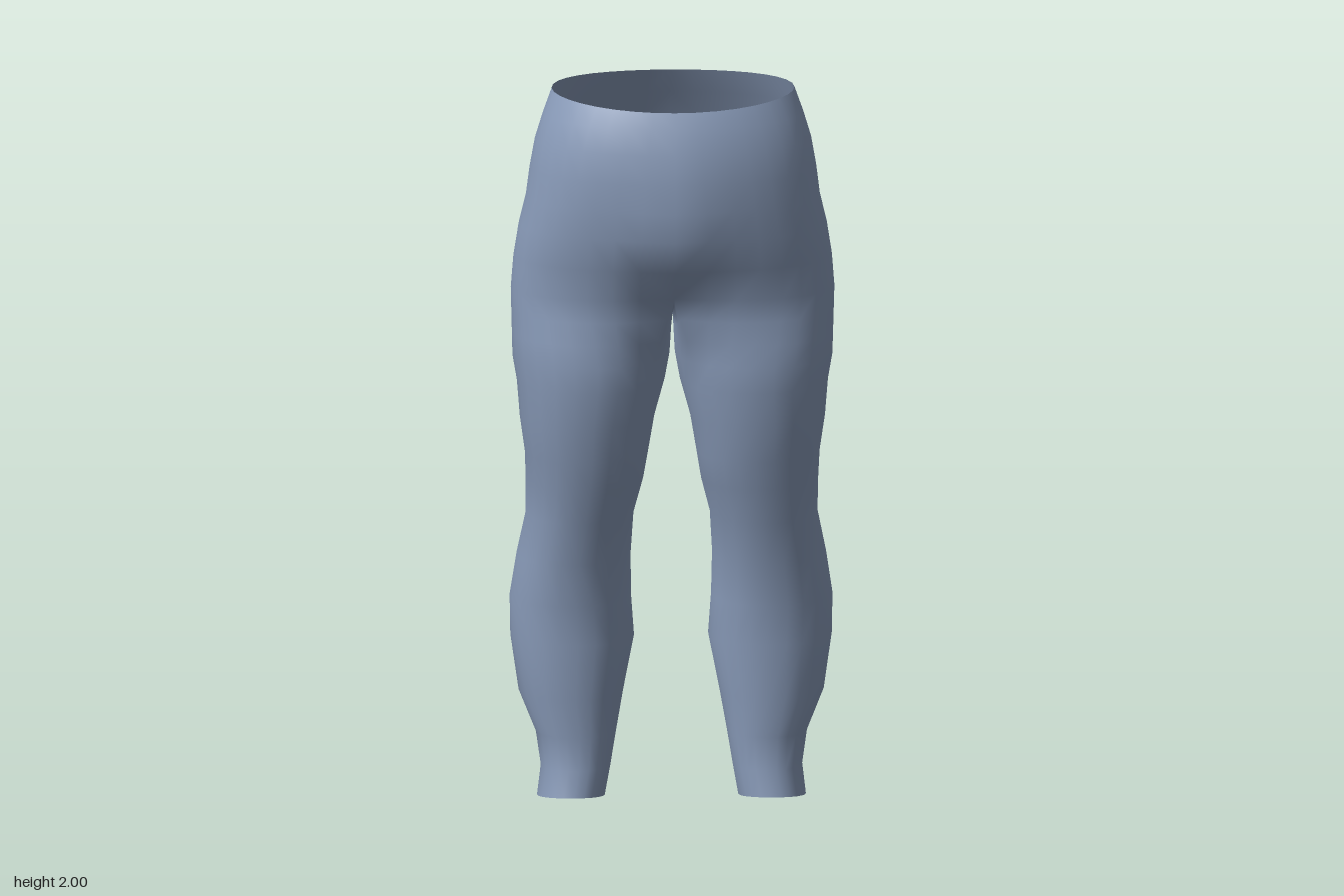
import * as THREE from 'three';
import { mergeVertices } from 'three/addons/utils/BufferGeometryUtils.js';

const OUTER = 18; // steps from centre front round the outside to centre back
const INNER = 9;  // steps along the inside of the leg
const WRAP = 0.87; // how far the outer seam wraps to the inside of a leg

// Hip rows: y, half width, front z, back z, z shift of the widest point,
// inward pull at centre front and centre back, roundness
const HIPS = [
  [1.997, 0.328, 0.293, -0.174, 0, 0, 0, 1],
  [1.93, 0.352, 0.308, -0.208, 0.01, 0, 0, 0.97],
  [1.86, 0.373, 0.32, -0.247, 0.02, -0.005, 0.002, 0.93],
  [1.78, 0.387, 0.32, -0.286, 0.03, -0.013, 0.005, 0.9],
  [1.7, 0.397, 0.31, -0.306, 0.036, -0.023, 0.01, 0.87],
  [1.62, 0.416, 0.295, -0.317, 0.04, -0.032, 0.014, 0.87],
  [1.53, 0.43, 0.272, -0.32, 0.045, -0.016, 0.025, 0.88],
  [1.44, 0.437, 0.24, -0.3, 0.045, 0.045, 0.08, 0.89],
];

// Leg rows: y, inner x, outer x, front z, back z, z shift of the widest point
const LEG = [
  [1.25, 0.007, 0.432, 0.213, -0.3, 0.042],
  [1.18, 0.02, 0.42, 0.205, -0.287, 0.038],
  [1.08, 0.048, 0.412, 0.187, -0.255, 0.03],
  [0.98, 0.065, 0.398, 0.16, -0.23, 0.015],
  [0.9, 0.078, 0.395, 0.137, -0.25, 0.005],
  [0.8, 0.103, 0.394, 0.105, -0.285, 0],
  [0.68, 0.11, 0.418, 0.07, -0.312, 0],
  [0.56, 0.108, 0.436, 0.044, -0.333, 0],
  [0.45, 0.1, 0.434, 0.03, -0.322, 0],
  [0.3, 0.13, 0.412, 0.022, -0.287, 0],
  [0.19, 0.15, 0.366, 0.002, -0.217, 0],
  [0.1, 0.165, 0.353, 0.006, -0.207, 0],
  [0.015, 0.18, 0.363, 0.017, -0.228, 0],
];

const bend = (v, p) => Math.sign(v) * Math.pow(Math.abs(v), p);

// Depth at cosine c, with the widest point shifted from the middle
function depthAt(c, front, back, shift, power) {
  const wide = (front + back) / 2 + shift;
  return wide + (c > 0 ? front - wide : wide - back) * bend(c, power);
}

// Half ring of the hips, from centre front to centre back; sag lowers the front edge
function hipRow([y, width, front, back, shift, frontPull, backPull, round], sag) {
  const points = [];
  for (let i = 0; i <= OUTER; i++) {
    const a = Math.PI * i / OUTER;
    const edge = i === 0 || i === OUTER;
    const x = edge ? 0 : width * bend(Math.sin(a), round);
    const c = Math.cos(a);
    const dent = (c > 0 ? -frontPull : backPull) * Math.exp(-((x / 0.11) ** 2));
    points.push(new THREE.Vector3(x, y - sag * (c + c * c), depthAt(c, front, back, shift, round) + dent));
  }
  return points;
}

// Closes a hip row with a sagging crotch curve on the centre line
function crotchRow(hip) {
  const front = hip[0], back = hip[OUTER], points = hip.map((p) => p.clone());
  for (let j = 1; j < INNER; j++) {
    const p = back.clone().lerp(front, j / INNER);
    p.y -= 0.055 * Math.pow(Math.sin(Math.PI * j / INNER), 0.7);
    points.push(p);
  }
  return points;
}

// Closed ring of a leg, with the same point order as the crotch row
function legRow([y, inX, outX, front, back, shift], tilt) {
  const points = [];
  const add = (a) => points.push(new THREE.Vector3(
    (inX + outX) / 2 + (outX - inX) / 2 * bend(Math.sin(a), 0.92),
    y + tilt * Math.cos(a),
    depthAt(Math.cos(a), front, back, shift * Math.max(0, Math.sin(a)), 0.92)));
  for (let i = 0; i <= OUTER; i++) add(-WRAP + (Math.PI + 2 * WRAP) * i / OUTER);
  for (let j = 1; j < INNER; j++) add(Math.PI + WRAP + (Math.PI - 2 * WRAP) * j / INNER);
  return points;
}

export function createModel() {
  const positions = [];
  // Each triangle is also added mirrored, with its corners reversed
  const triangle = (a, b, c) => {
    for (const p of [a, b, c]) positions.push(p.x, p.y, p.z);
    for (const p of [a, c, b]) positions.push(-p.x, p.y, p.z);
  };
  const strip = (upper, lower, closed) => {
    const n = upper.length, count = closed ? n : n - 1;
    for (let i = 0; i < count; i++) {
      const k = (i + 1) % n;
      triangle(upper[i], lower[i], upper[k]);
      triangle(upper[k], lower[i], lower[k]);
    }
  };

  // Waist and hips
  const hips = HIPS.map((row, i) => hipRow(row, i === 0 ? 0.012 : 0));
  for (let i = 1; i < hips.length; i++) strip(hips[i - 1], hips[i], false);

  // Crotch blending into the legs, then down to the open ankles
  const crotch = crotchRow(hips[hips.length - 1]);
  const legs = LEG.map((row, i) => legRow(row, i === LEG.length - 1 ? 0.013 : 0));
  const blend = [0.33, 0.67].map((t) => crotch.map((p, i) => p.clone().lerp(legs[0][i], t)));
  const rows = [crotch, ...blend, ...legs];
  for (let i = 1; i < rows.length; i++) strip(rows[i - 1], rows[i], true);

  let geometry = new THREE.BufferGeometry();
  geometry.setAttribute('position', new THREE.Float32BufferAttribute(positions, 3));
  geometry = mergeVertices(geometry, 1e-4);
  geometry.computeVertexNormals();

  const fabric = new THREE.MeshStandardMaterial({ color: 0x8a9cba, side: THREE.DoubleSide });
  fabric.name = 'blue grey fabric';
  const leggings = new THREE.Mesh(geometry, fabric);
  leggings.name = 'leggings';

  const model = new THREE.Group();
  model.name = 'trousers';
  model.add(leggings);
  return model;
}
